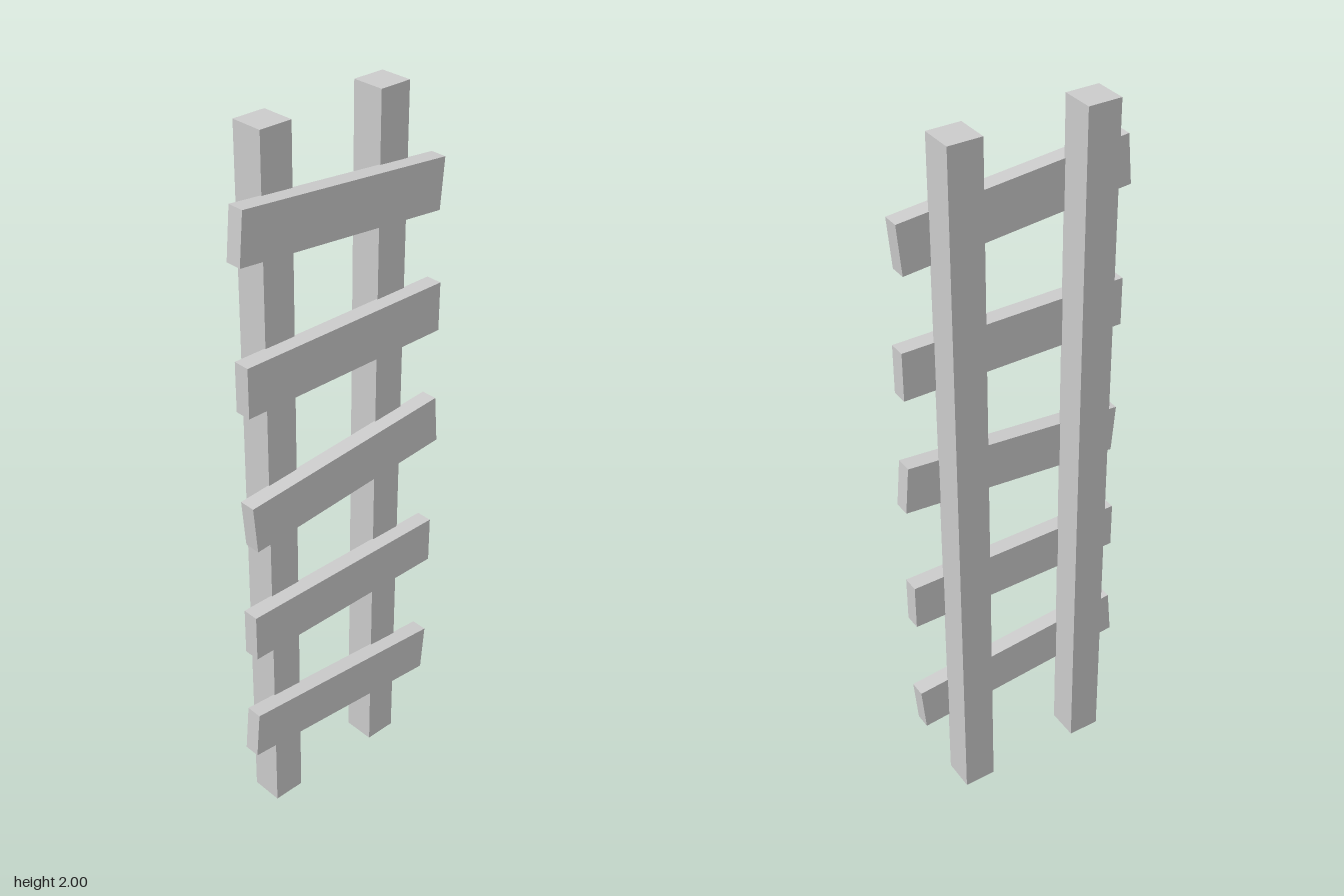
import * as THREE from 'three';

export function createModel() {
  const model = new THREE.Group();
  model.name = 'ladder';
  const material = new THREE.MeshStandardMaterial({ color: 0xcccccc, flatShading: true });

  function addBeam(name, size, position, tilt = 0) {
    const beam = new THREE.Mesh(new THREE.BoxGeometry(...size), material);
    beam.name = name;
    beam.position.set(...position);
    beam.rotation.z = THREE.MathUtils.degToRad(tilt);
    model.add(beam);
  }

  // Two square upright posts
  addBeam('leftPost', [0.091, 2, 0.09], [0.182, 1, -0.0215]);
  addBeam('rightPost', [0.091, 2, 0.09], [-0.182, 1, -0.0215]);

  // Planks nailed to the front, some of them crooked: [x, y, tilt in degrees]
  const rungs = [
    [-0.008, 0.307, -5],
    [-0.001, 0.668, 0],
    [0.006, 1.034, 5],
    [-0.001, 1.399, 0],
    [-0.008, 1.762, -5],
  ];
  rungs.forEach(([x, y, tilt], i) => {
    addBeam(`rung${i + 1}`, [0.633, 0.135, 0.045], [x, y, 0.0425], tilt);
  });

  return model;
}
